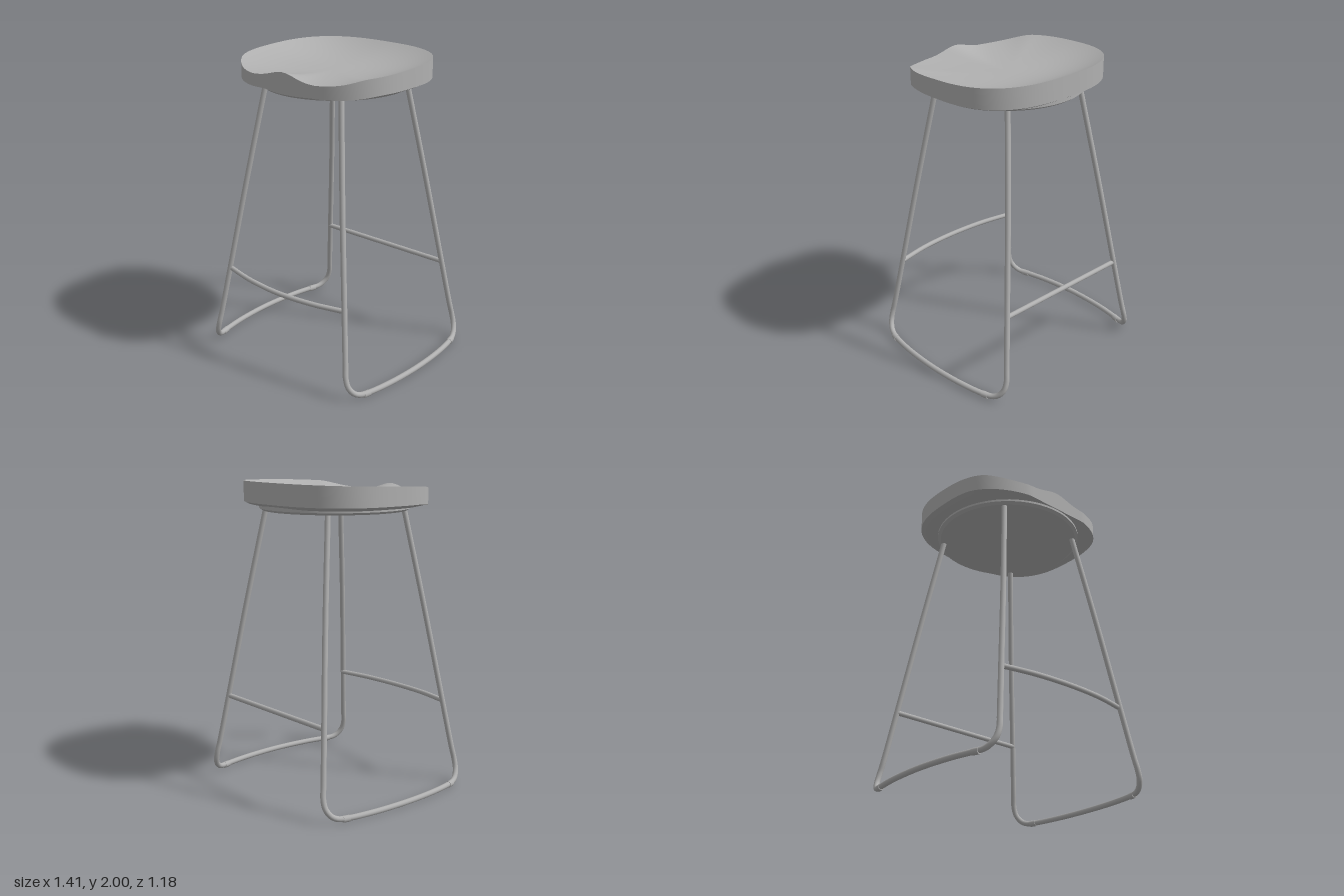
import * as THREE from 'three';

const metalGrey = new THREE.MeshStandardMaterial({ color: 0xb0b0b0 });
metalGrey.name = 'grey';

const SEGMENTS = 120;
const v = (x, y, z) => new THREE.Vector3(x, y, z);

// Seat outline: a rounded square, cut straight along the front
function outline(angle) {
  const c = Math.cos(angle), s = Math.sin(angle), n = 2.7;
  const r = (Math.abs(c / 0.577) ** n + Math.abs(s / 0.511) ** n) ** (-1 / n);
  return [r * c, Math.min(r * s, 0.492)];
}

// Rim height: high at the back, dipping at the front with a central rise
function rimHeight(x, z) {
  const front = THREE.MathUtils.smoothstep(z, 0.3, 0.49);
  const slope = 1.984 - 0.032 * z - 0.05 * Math.max(z, 0) ** 2;
  return slope - front * 0.034 + front * 0.043 * Math.exp(-((x / 0.13) ** 2));
}

// Closed rings joined into a surface; point(ring, angle) gives [x, y, z]
function ringSurface(ringCount, point) {
  const positions = [], index = [];
  for (let j = 0; j < ringCount; j++) {
    for (let i = 0; i < SEGMENTS; i++) {
      positions.push(...point(j, (i / SEGMENTS) * Math.PI * 2));
      if (j === ringCount - 1) continue;
      const a = j * SEGMENTS + i, b = j * SEGMENTS + (i + 1) % SEGMENTS;
      index.push(a, b, a + SEGMENTS, b, b + SEGMENTS, a + SEGMENTS);
    }
  }
  const geometry = new THREE.BufferGeometry();
  geometry.setAttribute('position', new THREE.Float32BufferAttribute(positions, 3));
  geometry.setIndex(index);
  geometry.computeVertexNormals();
  return geometry;
}

function add(parent, name, geometry) {
  const mesh = new THREE.Mesh(geometry, metalGrey);
  mesh.name = name;
  parent.add(mesh);
  return mesh;
}

function rod(parent, name, points, radius, steps) {
  const curve = new THREE.CatmullRomCurve3(points, false, 'centripetal');
  return add(parent, name, new THREE.TubeGeometry(curve, steps, radius, 12));
}

function buildSeat(parent) {
  const seat = new THREE.Group();
  seat.name = 'seat';
  parent.add(seat);

  // Dished top
  const rings = 24;
  add(seat, 'seatTop', ringSurface(rings + 1, (j, angle) => {
    const s = j / rings, [x, z] = outline(angle);
    const centre = 1.905;
    return [x * s, centre + (rimHeight(x, z) - centre) * s ** 2.8, z * s];
  }));

  // Upright edge
  add(seat, 'seatEdge', ringSurface(2, (j, angle) => {
    const [x, z] = outline(angle);
    const bottom = 1.866 - 0.022 * THREE.MathUtils.smoothstep(z, 0.2, 0.49);
    return [x, j ? bottom : rimHeight(x, z), z];
  }));

  // Underside, turning in from the edge
  const scales = [1, 0.95, 0.88, 0];
  add(seat, 'seatUnderside', ringSurface(4, (j, angle) => {
    const [x, z] = outline(angle), s = scales[j];
    const bottom = 1.866 - 0.022 * THREE.MathUtils.smoothstep(z, 0.2, 0.49);
    return [x * s, [bottom, Math.min(bottom, 1.852), 1.843, 1.843][j], z * s];
  }));

  // Round mounting plate: rim band, chamfer and flat base
  const plate = [
    ['plateBand', 0.486, 0.486, 1.836, 0.024],
    ['plateChamfer', 0.486, 0.465, 1.822, 0.014],
  ];
  for (const [name, top, bottom, y, height] of plate) {
    add(seat, name, new THREE.CylinderGeometry(top, bottom, height, 72))
      .position.y = y + (name === 'plateBand' ? 0.005 : 0);
  }
}

function buildFrame(parent) {
  const frame = new THREE.Group();
  frame.name = 'frame';
  parent.add(frame);

  // Each side is one bent rod: front leg, floor runner, back leg
  for (const side of [1, -1]) {
    const half = [
      [0.31, 1.83, 0.315], [0.41, 1.17, 0.42], [0.504, 0.55, 0.51],
      [0.553, 0.23, 0.557], [0.567, 0.15, 0.57], [0.585, 0.09, 0.566],
      [0.606, 0.048, 0.54], [0.622, 0.028, 0.505], [0.64, 0.023, 0.45],
      [0.672, 0.023, 0.27],
    ];
    const front = half.map(([x, y, z]) => v(side * x, y, z));
    const back = half.map(([x, y, z]) => v(side * x, y, -z - 0.005)).reverse();
    const label = side > 0 ? 'left' : 'right';
    rod(frame, label + 'LegsAndRunner', [...front, v(side * 0.688, 0.024, 0), ...back], 0.018, 240);

    // Small floor glides clipped round the runner
    for (const end of [1, -1]) {
      const glide = add(frame, label + (end > 0 ? 'Front' : 'Back') + 'Glide',
        new THREE.CylinderGeometry(0.021, 0.021, 0.045, 14).rotateX(Math.PI / 2));
      glide.position.set(side * 0.639, 0.021, end * 0.455);
      glide.rotation.y = -side * end * 0.25;
    }
  }

  // Bowed front footrest and straight back brace
  rod(frame, 'frontFootrest', [
    v(-0.505, 0.56, 0.5), v(-0.27, 0.556, 0.55), v(0, 0.553, 0.57),
    v(0.27, 0.556, 0.55), v(0.505, 0.56, 0.5),
  ], 0.016, 48);
  rod(frame, 'backBrace', [v(-0.503, 0.56, -0.51), v(0.503, 0.56, -0.51)], 0.016, 4);
}

export function createModel() {
  const stool = new THREE.Group();
  stool.name = 'stool';
  buildSeat(stool);
  buildFrame(stool);
  return stool;
}
